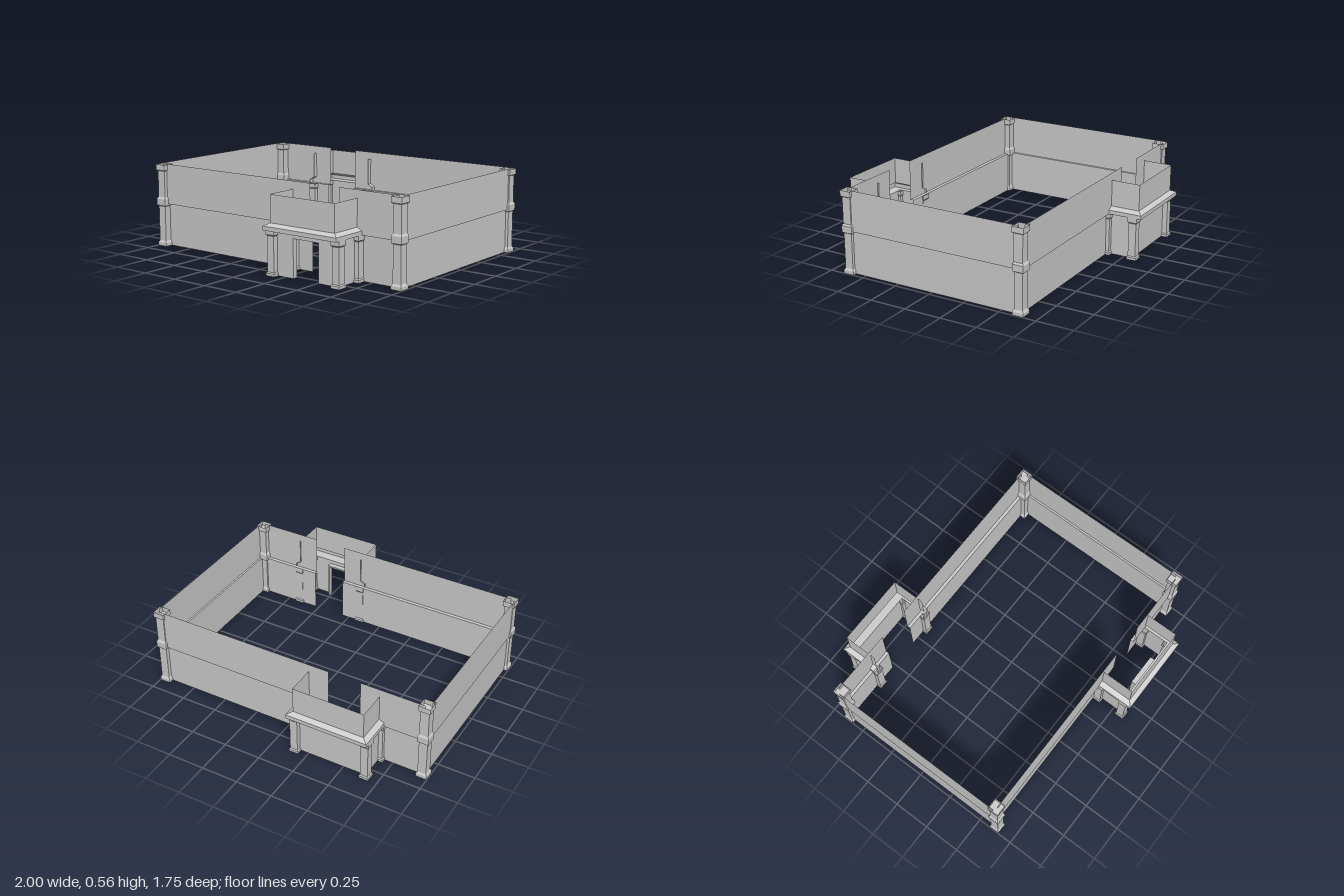
import * as THREE from 'three';

const plaster = new THREE.MeshStandardMaterial({ color: 0xcccccc, side: THREE.DoubleSide, flatShading: true });
plaster.name = 'pale grey plaster';

function add(parent, name, geometry, x = 0, y = 0, z = 0) {
  const mesh = new THREE.Mesh(geometry, plaster);
  mesh.name = name;
  mesh.position.set(x, y, z);
  parent.add(mesh);
  return mesh;
}

// Joins neighbouring rings of [x, y, z] points with quads
function loft(rings, closed = false) {
  const pos = [];
  for (let i = 0; i < rings.length - 1; i++) {
    const a = rings[i], b = rings[i + 1];
    const n = a.length;
    for (let j = 0; j < (closed ? n : n - 1); j++) {
      const k = (j + 1) % n;
      pos.push(...a[j], ...a[k], ...b[k], ...a[j], ...b[k], ...b[j]);
    }
  }
  const g = new THREE.BufferGeometry();
  g.setAttribute('position', new THREE.Float32BufferAttribute(pos, 3));
  g.computeVertexNormals();
  return g;
}

// Hollow square column from [half width, height] steps
function column(profile) {
  return loft(profile.map(([h, y]) => [[-h, y, h], [h, y, h], [h, y, -h], [-h, y, -h]]), true);
}

// Closing plate inside a hollow column
function plate(size) {
  return new THREE.PlaneGeometry(size, size).rotateX(-Math.PI / 2);
}

const TOP = 0.56, LEDGE = 0.288;

// Thin wall whose upper half steps outward above the ledge
function wall(parent, name, from, to, lower, upper, alongX) {
  const rows = [[lower, 0], [lower, LEDGE], [upper, LEDGE], [upper, TOP]];
  const sign = Math.sign(upper);
  const ends = (alongX ? sign > 0 : sign < 0) ? [from, to] : [to, from];
  add(parent, name, loft(rows.map(([d, y]) => ends.map(e => alongX ? [e, y, d] : [d, y, e]))));
}

function porch(hasDoor) {
  const g = new THREE.Group();
  const x0 = 0.165, x1 = 0.657, zb = 0.61, zf = 0.803;
  // Cornice and parapet: [side outset, front outset, height]
  const profile = [[0, 0, LEDGE], [0.035, 0.07, LEDGE], [0.035, 0.07, 0.315], [0, 0.038, 0.333], [0, 0.038, 0.51]];
  add(g, 'porchCorniceAndParapet', loft(profile.map(([s, f, y]) => [
    [x0 - s, y, zb], [x0 - s, y, zf + f], [x1 + s, y, zf + f], [x1 + s, y, zb]])));

  // Lower side walls
  for (const [x, a, b] of [[x0, zb, zf], [x1, zf, zb]]) {
    add(g, 'porchSideWall', loft([0, LEDGE].map(y => [[x, y, a], [x, y, b]])));
  }

  // Lower front wall, notched for the doorway
  const d0 = 0.313, d1 = 0.507, dh = 0.248;
  const s = new THREE.Shape();
  s.moveTo(x0, 0);
  if (hasDoor) {
    s.lineTo(d0, 0);
    s.lineTo(d0, dh);
    s.lineTo(d1, dh);
    s.lineTo(d1, 0);
  }
  s.lineTo(x1, 0);
  s.lineTo(x1, LEDGE);
  s.lineTo(x0, LEDGE);
  add(g, 'porchFrontWall', new THREE.ShapeGeometry(s), 0, 0, zf);

  // Door frame set behind the wall
  if (hasDoor) {
    const t = 0.012, depth = 0.034, zc = zf - depth / 2;
    for (const x of [d0 - t / 2, d1 + t / 2]) {
      add(g, 'doorJamb', new THREE.BoxGeometry(t, dh, depth), x, dh / 2, zc);
    }
    add(g, 'doorLintel', new THREE.BoxGeometry(d1 - d0 + 2 * t, t, depth), (d0 + d1) / 2, dh + t / 2, zc);
  }

  // Four small columns
  const post = column([[0.033, 0], [0.033, 0.017], [0.026, 0.024], [0.026, 0.25],
    [0.032, 0.258], [0.032, LEDGE]]);
  for (const x of [0.162, 0.66]) {
    for (const z of [0.621, 0.811]) {
      add(g, 'porchColumn', post, x, 0, z);
      add(g, 'porchColumnBase', plate(0.056), x, 0.015, z);
    }
  }
  return g;
}

export function createModel() {
  const model = new THREE.Group();
  model.name = 'walledBuilding';

  // Long walls, each with a gap behind its porch
  wall(model, 'frontWallLong', -0.96, 0.3, 0.597, 0.621, true);
  wall(model, 'frontWallShort', 0.525, 0.96, 0.597, 0.621, true);
  wall(model, 'backWallLong', -0.303, 0.96, -0.628, -0.649, true);
  wall(model, 'backWallShort', -0.96, -0.525, -0.628, -0.649, true);
  // End walls
  wall(model, 'leftWall', -0.62, 0.61, 0.97, 0.983, false);
  wall(model, 'rightWall', -0.62, 0.61, -0.973, -0.988, false);

  // Corner columns with base, middle band and hollow cap
  const corner = column([[0.037, 0], [0.037, 0.022], [0.029, 0.036], [0.029, 0.272], [0.038, 0.278],
    [0.038, 0.322], [0.03, 0.335], [0.03, 0.512], [0.039, 0.518], [0.039, 0.556]]);
  for (const x of [-0.961, 0.961]) {
    for (const z of [-0.626, 0.614]) {
      add(model, 'cornerColumn', corner, x, 0, z);
      add(model, 'cornerColumnBase', plate(0.066), x, 0.022, z);
      add(model, 'cornerColumnTop', plate(0.077), x, 0.522, z);
    }
  }

  // Porches on opposite sides, the back one closed
  const front = porch(true);
  front.name = 'frontPorch';
  const back = porch(false);
  back.name = 'backPorch';
  back.rotation.y = Math.PI;
  back.position.z = -0.005;
  model.add(front, back);
  return model;
}
